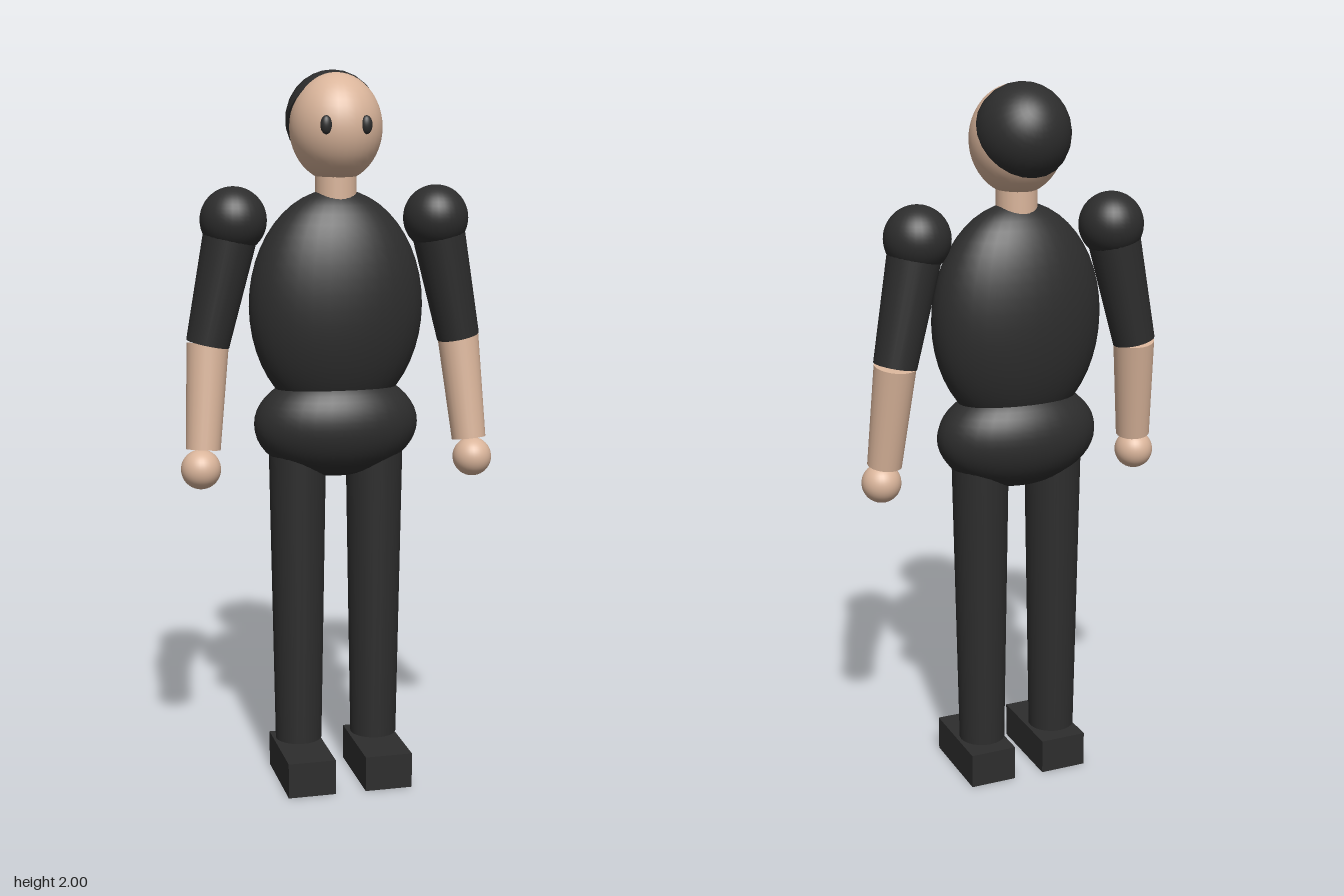
import * as THREE from 'three';

const dark = new THREE.MeshStandardMaterial({ color: 0x2d2d2d });
dark.name = 'charcoal';
const skin = new THREE.MeshStandardMaterial({ color: 0xdab59b });
skin.name = 'skin';

export function createModel() {
  const model = new THREE.Group();
  model.name = 'figure';

  function add(name, geometry, material, [x, y, z], parent = model) {
    const mesh = new THREE.Mesh(geometry, material);
    mesh.name = name;
    mesh.position.set(x, y, z);
    parent.add(mesh);
    return mesh;
  }

  // Sphere stretched to the three given radii
  function ellipsoid(name, material, centre, radii, parent) {
    const geometry = new THREE.SphereGeometry(1, 32, 24).scale(...radii);
    return add(name, geometry, material, centre, parent);
  }

  // Tapered limb between two points
  function limb(name, material, top, bottom, rTop, rBottom, parent) {
    const a = new THREE.Vector3(...top), b = new THREE.Vector3(...bottom);
    const axis = a.clone().sub(b);
    const geometry = new THREE.CylinderGeometry(rTop, rBottom, axis.length(), 24);
    const mesh = add(name, geometry, material, a.add(b).multiplyScalar(0.5).toArray(), parent);
    mesh.quaternion.setFromUnitVectors(new THREE.Vector3(0, 1, 0), axis.normalize());
    return mesh;
  }

  // Trunk and neck
  ellipsoid('torso', dark, [0, 1.36, 0], [0.245, 0.32, 0.143]);
  ellipsoid('pelvis', dark, [0, 1.03, 0], [0.233, 0.15, 0.143]);
  limb('neck', skin, [0, 1.76, 0], [0, 1.64, 0], 0.057, 0.057);

  // Head with a tilted half-sphere of hair
  ellipsoid('head', skin, [0, 1.845, 0], [0.127, 0.147, 0.134]);
  const hair = new THREE.Group();
  hair.name = 'hair';
  hair.position.set(0, 1.866, -0.04);
  hair.rotation.x = -0.95;
  model.add(hair);
  const cap = new THREE.SphereGeometry(0.134, 24, 12, 0, Math.PI * 2, 0, Math.PI / 2);
  add('hairCap', cap.scale(0.965, 1, 1), dark, [0, 0, 0], hair);
  const underside = new THREE.CircleGeometry(0.134, 24).rotateX(Math.PI / 2);
  add('hairUnderside', underside.scale(0.965, 1, 1), dark, [0, 0, 0], hair);

  // Eyes, arms, legs and shoes on each side
  for (const [side, s] of [['left', 1], ['right', -1]]) {
    ellipsoid(side + 'Eye', dark, [s * 0.055, 1.852, 0.119], [0.016, 0.025, 0.013]);

    const arm = new THREE.Group();
    arm.name = side + 'Arm';
    model.add(arm);
    const elbow = [s * 0.359, 1.262, -0.01];
    ellipsoid('shoulder', dark, [s * 0.286, 1.598, 0], [0.091, 0.091, 0.091], arm);
    limb('sleeve', dark, [s * 0.286, 1.598, 0], elbow, 0.076, 0.06, arm);
    limb('forearm', skin, elbow, [s * 0.382, 0.975, 0.03], 0.058, 0.048, arm);
    ellipsoid('hand', skin, [s * 0.39, 0.922, 0.037], [0.055, 0.055, 0.055], arm);

    const leg = new THREE.Group();
    leg.name = side + 'Leg';
    model.add(leg);
    limb('trouserLeg', dark, [s * 0.111, 1.0, 0], [s * 0.111, 0.113, 0], 0.081, 0.066, leg);
    add('shoe', new THREE.BoxGeometry(0.135, 0.1, 0.267), dark, [s * 0.111, 0.05, 0.044], leg);
  }
  return model;
}
